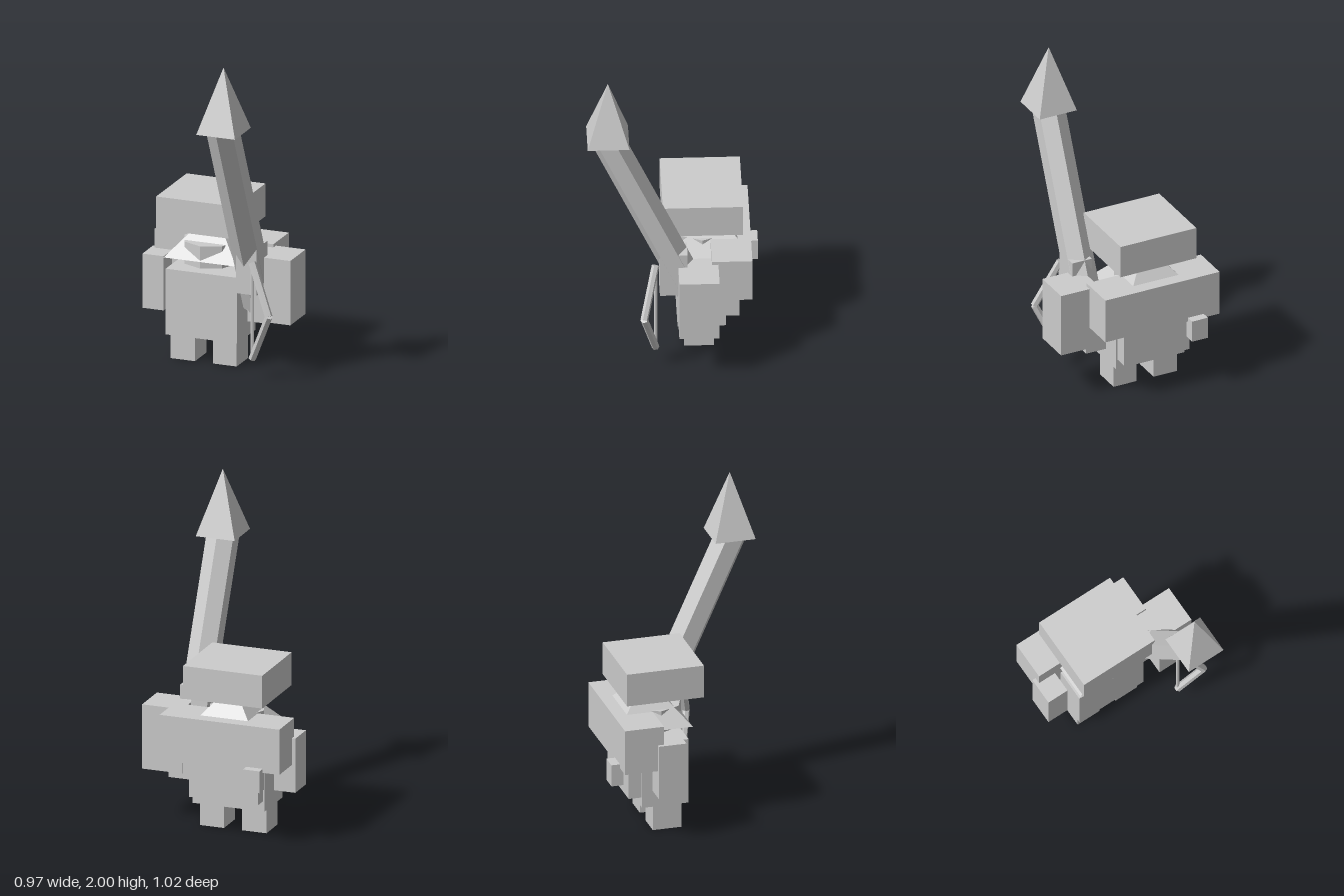
import * as THREE from 'three';

export function createModel() {
  const model = new THREE.Group();
  const grey = new THREE.MeshStandardMaterial({ color: 0xcccccc });
  grey.name = 'plainGrey';
  const MID = -0.083; // body centre line

  const add = (name, geometry, x = 0, y = 0, z = 0) => {
    const mesh = new THREE.Mesh(geometry.toNonIndexed(), grey);
    mesh.geometry.computeVertexNormals(); // flat faces
    mesh.name = name;
    mesh.position.set(x, y, z);
    model.add(mesh);
    return mesh;
  };

  // Box from its minimum and maximum on each axis
  const box = (name, [x0, x1], [y0, y1], [z0, z1]) =>
    add(name, new THREE.BoxGeometry(x1 - x0, y1 - y0, z1 - z0),
      (x0 + x1) / 2, (y0 + y1) / 2, (z0 + z1) / 2);

  // Square pyramid with its base at y
  const pyramid = (name, half, height, x, y, z) =>
    add(name, new THREE.ConeGeometry(half * Math.SQRT2, height, 4).rotateY(Math.PI / 4),
      x, y + height / 2, z);

  // Straight rod between two points
  const rod = (name, from, to, radius, sides) => {
    const a = new THREE.Vector3(...from), b = new THREE.Vector3(...to);
    const dir = b.clone().sub(a);
    const mesh = add(name, new THREE.CylinderGeometry(radius, radius, dir.length(), sides));
    mesh.position.copy(a).add(b).multiplyScalar(0.5);
    mesh.quaternion.setFromUnitVectors(new THREE.Vector3(0, 1, 0), dir.normalize());
    return mesh;
  };

  // Torso and legs
  box('torso', [-0.31, 0.145], [0.157, 0.563], [-0.31, -0.025]);
  box('rightLeg', [-0.295, -0.14], [0, 0.16], [-0.24, -0.065]);
  box('leftLeg', [-0.027, 0.125], [0, 0.16], [-0.24, -0.065]);

  // Head, pointed hood and flat hat
  add('head', new THREE.CylinderGeometry(0.17, 0.17, 0.137, 8), MID, 0.667, -0.175);
  pyramid('hood', 0.23, 0.26, MID, 0.64, -0.23);
  box('hat', [-0.335, 0.166], [0.83, 1.033], [-0.41, 0.062]);

  // Packs on the back
  box('backpack', [-0.463, 0.294], [0.45, 0.73], [-0.46, -0.222]);
  box('lowerPack', [-0.3, 0.135], [0.22, 0.46], [-0.39, -0.3]);
  box('pouch', [-0.358, -0.254], [0.34, 0.475], [-0.513, -0.44]);

  // Arms, with a large guard and a raised forearm on the left
  box('rightArm', [-0.485, -0.35], [0.28, 0.615], [-0.26, -0.09]);
  box('leftArm', [0.183, 0.316], [0.28, 0.615], [-0.258, -0.09]);
  box('leftGuard', [0.23, 0.483], [0.312, 0.71], [-0.26, -0.023]);
  box('leftForearm', [0.184, 0.314], [0.507, 0.797], [-0.078, 0.085]);

  // Leaning spear
  rod('spearShaft', [0.232, 0.37, -0.16], [0.228, 1.64, 0.411], 0.098, 6);
  pyramid('spearHead', 0.123, 0.395, 0.228, 1.605, 0.388);

  // Bow with two straight limbs and a string
  const grip = [0.43, 0.42, 0.181];
  for (const [name, y] of [['upperBowLimb', 0.717], ['lowerBowLimb', 0.123]])
    rod(name, [0.296, y, 0.11], grip, 0.023, 6);
  rod('bowString', [0.296, 0.13, 0.11], [0.296, 0.71, 0.11], 0.01, 6);

  return model;
}
